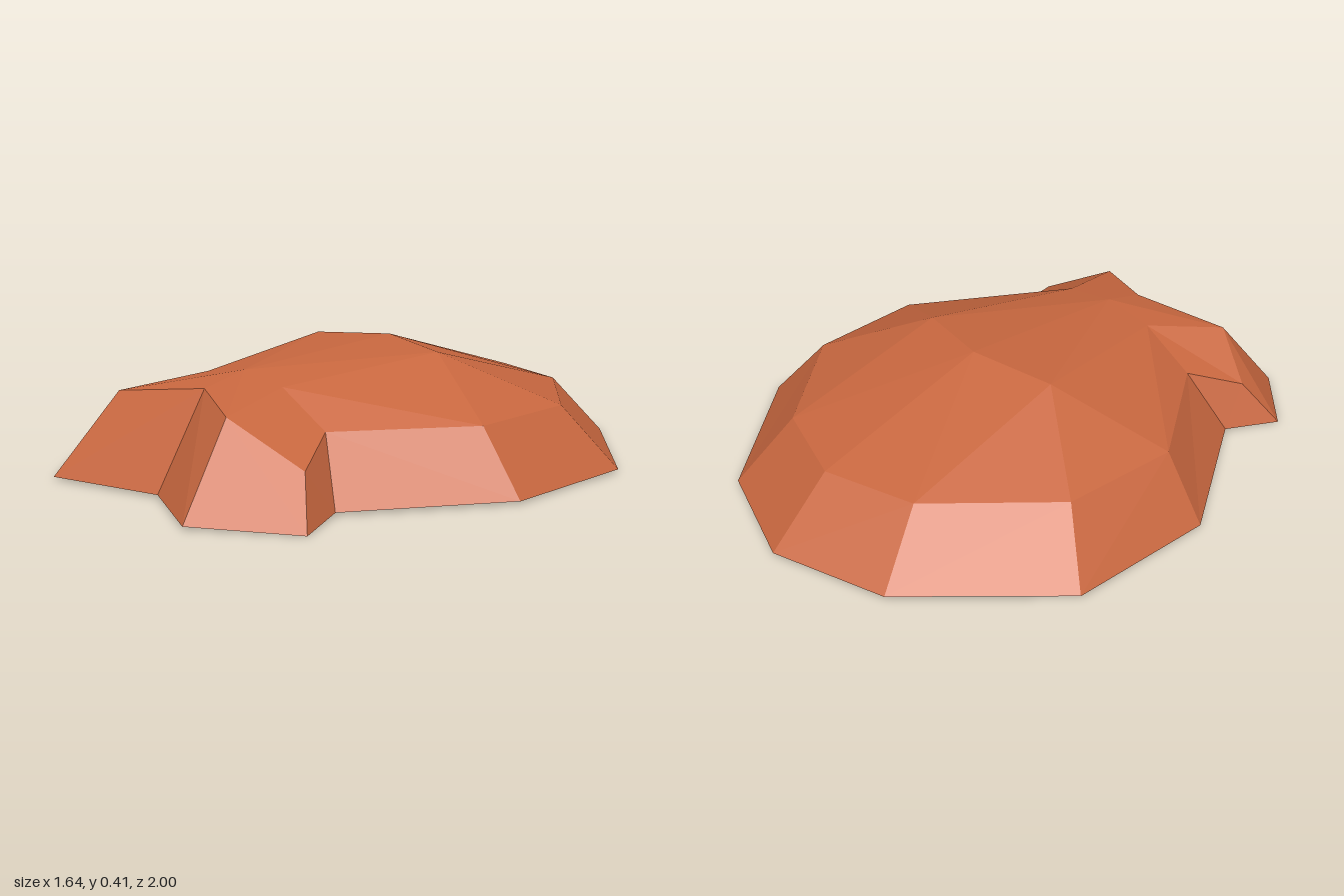
import * as THREE from 'three';

// Half profiles running from the back (-z) round the side to the front (+z): [x, y, z]
const RIM = [
  [0, 0.01, -1], [0.4, 0.01, -0.87], [0.8, 0.01, -0.43], [0.82, 0.01, 0.1],
  [0.52, 0.01, 0.59], [0.61, 0, 0.78], [0.32, 0.01, 1], [0, 0.01, 0.86],
];
const RING = [
  [0, 0.22, -0.78], [0.32, 0.22, -0.68], [0.64, 0.22, -0.32], [0.665, 0.22, 0.1],
  [0.39, 0.22, 0.51], [0.5, 0.15, 0.69], [0.25, 0.285, 0.78], [0, 0.32, 0.67],
];
// Points on the crown, inside the ring
const NECK = [0, 0.36, 0.51];
const NECK_SIDE = [0.19, 0.33, 0.51];
const CROWN_SIDE = [0.3, 0.385, -0.08];
const CROWN = [0, 0.405, -0.15];

// The lobe on the -x side is slightly wider
const WIDE_RIM = RIM.map((p, i) => (i === 6 ? [0.41, 0.01, 0.98] : p));
const WIDE_RING = RING.map((p, i) => (i === 6 ? [0.33, 0.28, 0.77] : p));

// Flat faceted mesh from polygons, fanned from their first corner
function facetMesh(name, polygons, material) {
  const positions = [];
  for (const { corners, side } of polygons) {
    const pts = corners.map(([x, y, z]) => [x * side, y, z]);
    if (side < 0) pts.push(...pts.splice(1).reverse());
    for (let i = 1; i < pts.length - 1; i++) {
      positions.push(...pts[0], ...pts[i], ...pts[i + 1]);
    }
  }
  const geometry = new THREE.BufferGeometry();
  geometry.setAttribute('position', new THREE.Float32BufferAttribute(positions, 3));
  geometry.computeVertexNormals();
  const mesh = new THREE.Mesh(geometry, material);
  mesh.name = name;
  return mesh;
}

export function createModel() {
  const group = new THREE.Group();
  group.name = 'lobedShell';
  const terracotta = new THREE.MeshStandardMaterial({
    name: 'terracotta', color: 0xc8673f, flatShading: true, side: THREE.DoubleSide,
  });

  const wall = [], crown = [], lobes = [];
  for (const side of [1, -1]) {
    const rim = side > 0 ? RIM : WIDE_RIM;
    const r = side > 0 ? RING : WIDE_RING;
    const add = (list, ...corners) => list.push({ corners, side });

    // Sloping wall between the open rim and the ring
    for (let i = 0; i < rim.length - 1; i++) {
      add(wall, rim[i], r[i], r[i + 1], rim[i + 1]);
    }

    // Domed top
    add(crown, CROWN, CROWN_SIDE, r[1], r[0]);
    add(crown, CROWN_SIDE, r[2], r[1]);
    add(crown, CROWN_SIDE, r[3], r[2]);
    add(crown, r[3], CROWN_SIDE, NECK_SIDE, r[4]);
    add(crown, NECK, NECK_SIDE, CROWN_SIDE, CROWN);

    // Front lobes either side of the notch
    add(lobes, NECK, r[7], r[6], NECK_SIDE);
    add(lobes, NECK_SIDE, r[6], r[5], r[4]);
  }

  group.add(
    facetMesh('sideWall', wall, terracotta),
    facetMesh('crown', crown, terracotta),
    facetMesh('frontLobes', lobes, terracotta),
  );
  return group;
}
